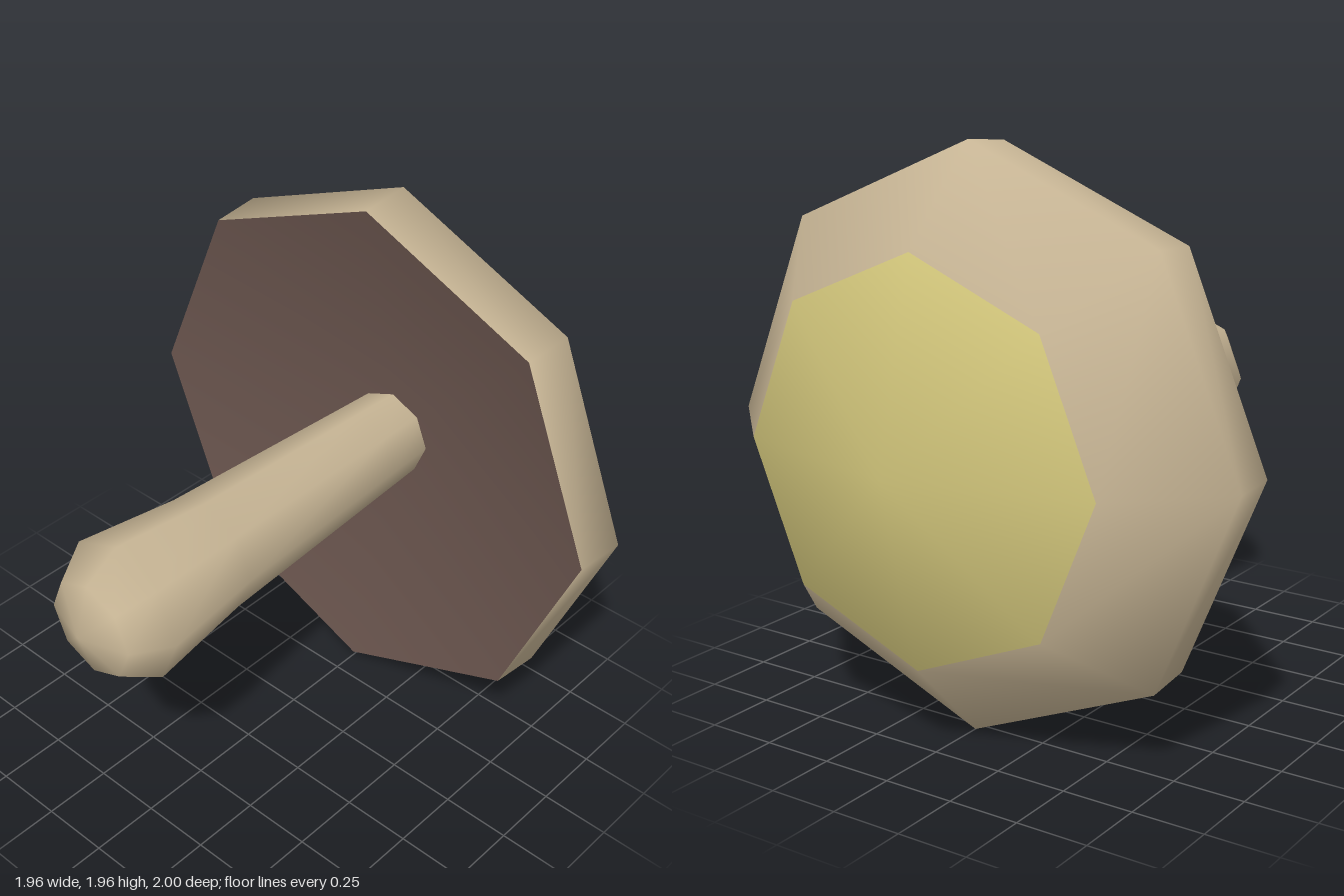
import * as THREE from 'three';
import { mergeVertices } from 'three/addons/utils/BufferGeometryUtils.js';

const SIDES = 8;

const material = (name, color) => {
  const m = new THREE.MeshStandardMaterial({ color });
  m.name = name;
  return m;
};

// Smooth eight-sided lathe along z; profile entries are [radius, z].
// bands gives the material index of each profile segment.
function turned(name, profile, materials, bands) {
  const geo = new THREE.LatheGeometry(profile.map(([r, z]) => new THREE.Vector2(r, z)), SIDES);
  if (bands) {
    for (let i = 0; i < SIDES; i++) {
      bands.forEach((band, j) => geo.addGroup((i * bands.length + j) * 6, 6, band));
    }
  }
  geo.deleteAttribute('normal');
  geo.deleteAttribute('uv');
  const smooth = mergeVertices(geo, 1e-4);
  smooth.computeVertexNormals();
  smooth.rotateX(Math.PI / 2);
  const mesh = new THREE.Mesh(smooth, materials);
  mesh.name = name;
  return mesh;
}

export function createModel() {
  const tan = material('tan', 0xc6b494);
  const yellow = material('pale yellow', 0xd0c47a);
  const brown = material('dark brown', 0x69544d);

  const model = new THREE.Group();
  model.name = 'mushroom';

  // Cap with a yellow crown
  const cap = turned('cap',
    [[0, -1], [0.67, -0.835], [0.982, -0.535], [0.967, -0.345]],
    [yellow, tan], [0, 1, 1]);

  // Shallow hollow under the cap
  const underside = turned('underside', [[0.967, -0.345], [0, -0.56]], brown);

  // Stem, swelling to a rounded foot
  const stem = turned('stem',
    [[0.16, -0.56], [0.17, -0.345], [0.207, 0.43], [0.255, 0.815], [0.175, 0.945], [0, 1]],
    tan);

  model.add(cap, underside, stem);
  model.children.forEach((part) => { part.position.y = 0.99; });
  return model;
}
